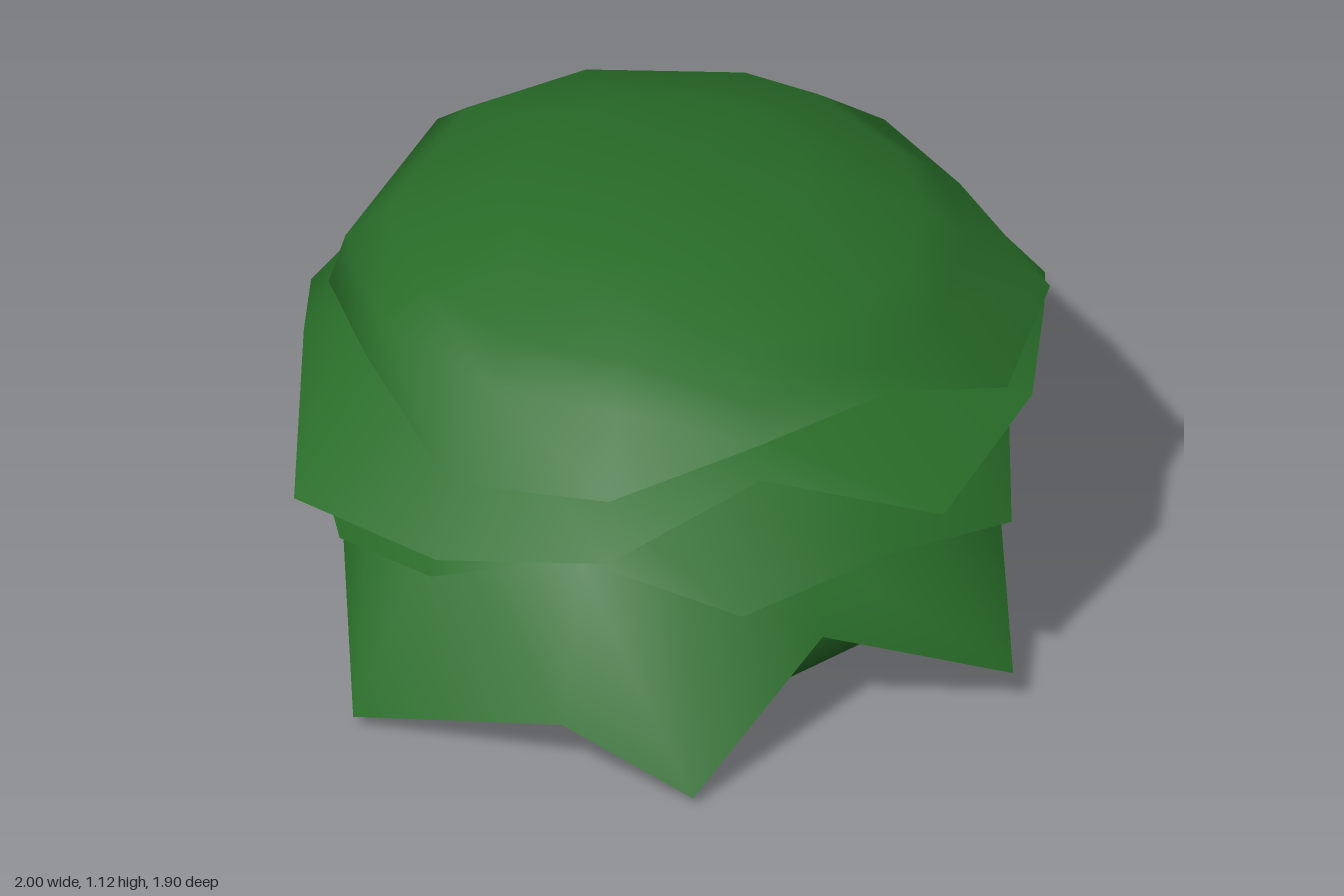
import * as THREE from 'three';

// Domed skirt of leaves: a crown point, smooth rings [radius, y], then a jagged rim of [x, y, z].
function skirt(name, crownY, rings, rim, material) {
  const n = rim.length;
  const pos = [0, crownY, 0];
  for (const [r, y] of rings) {
    for (const [x, , z] of rim) {
      const a = Math.atan2(z, x);
      pos.push(r * Math.cos(a), y, r * Math.sin(a));
    }
  }
  for (const p of rim) pos.push(...p);

  const index = [];
  for (let i = 0; i < n; i++) {
    const j = (i + 1) % n;
    index.push(0, 1 + i, 1 + j);
    for (let k = 0; k < rings.length; k++) {
      const a = 1 + k * n + i, b = 1 + k * n + j;
      index.push(a, a + n, b + n, a, b + n, b);
    }
  }
  const geo = new THREE.BufferGeometry();
  geo.setAttribute('position', new THREE.Float32BufferAttribute(pos, 3));
  geo.setIndex(index);
  geo.computeVertexNormals();
  const mesh = new THREE.Mesh(geo, material);
  mesh.name = name;
  return mesh;
}

export function createModel() {
  const group = new THREE.Group();
  group.name = 'bush';
  const leafGreen = new THREE.MeshStandardMaterial({ color: 0x286c28, side: THREE.DoubleSide });
  leafGreen.name = 'leaf green';

  // Rounded top of the bush
  group.add(skirt('topLeaves', 1.12, [[0.36, 1.1], [0.63, 1.01], [0.73, 0.93]], [
    [-0.76, 0.76, 0.5], [-0.47, 0.79, 0.77], [-0.1, 0.88, 0.82], [0.25, 0.91, 0.78],
    [0.6, 0.76, 0.67], [0.85, 0.79, 0.36], [0.78, 0.88, 0], [0.78, 0.8, -0.43],
    [0.55, 0.88, -0.58], [0.12, 0.91, -0.75], [-0.25, 0.85, -0.67], [-0.69, 0.8, -0.34],
    [-0.77, 0.85, 0.05],
  ], leafGreen));

  // Widest layer, with points to both sides and the back
  group.add(skirt('upperLeaves', 0.97, [[0.45, 0.94], [0.7, 0.84]], [
    [-1, 0.57, 0.15], [-0.81, 0.58, 0.54], [-0.5, 0.66, 0.83], [-0.1, 0.78, 0.82],
    [0.31, 0.65, 0.95], [0.66, 0.73, 0.68], [0.84, 0.73, 0.35], [1, 0.57, 0],
    [0.78, 0.8, -0.35], [0.56, 0.72, -0.7], [0.18, 0.57, -0.95], [-0.25, 0.72, -0.74],
    [-0.6, 0.6, -0.64], [-0.79, 0.74, -0.26],
  ], leafGreen));

  // Middle layer
  group.add(skirt('middleLeaves', 0.8, [[0.45, 0.78], [0.72, 0.69]], [
    [-0.86, 0.39, 0.1], [-0.77, 0.45, 0.42], [-0.51, 0.58, 0.67], [-0.18, 0.46, 0.89],
    [0.22, 0.49, 0.83], [0.58, 0.43, 0.74], [0.72, 0.58, 0.41], [0.82, 0.55, 0.05],
    [0.76, 0.58, -0.3], [0.66, 0.39, -0.6], [0.56, 0.48, -0.75], [0.2, 0.56, -0.74],
    [-0.15, 0.46, -0.77], [-0.6, 0.45, -0.64], [-0.79, 0.52, -0.26],
  ], leafGreen));

  // Lowest layer, with long points reaching the ground
  group.add(skirt('lowerLeaves', 0.62, [[0.45, 0.6], [0.7, 0.47]], [
    [-0.92, 0.03, 0.31], [-0.55, 0.13, 0.68], [-0.33, 0.02, 0.94], [0.08, 0.26, 0.77],
    [0.53, 0.09, 0.86], [0.67, 0.25, 0.48], [0.74, 0.26, 0.2], [0.76, 0.2, -0.05],
    [0.92, 0, -0.3], [0.65, 0.31, -0.52], [0.2, 0.25, -0.74], [-0.15, 0.22, -0.74],
    [-0.46, 0, -0.81], [-0.62, 0.22, -0.5], [-0.76, 0.24, -0.1],
  ], leafGreen));

  // Shallow bowl closing the underside, with its wall hidden by the leaves
  const profile = [[0, 0.04], [0.28, 0.045], [0.55, 0.085], [0.71, 0.12], [0.7, 0.25], [0.66, 0.42]];
  const core = new THREE.Mesh(
    new THREE.LatheGeometry(profile.map(([r, y]) => new THREE.Vector2(r, y)), 11), leafGreen);
  core.name = 'undersideCore';
  group.add(core);

  return group;
}
